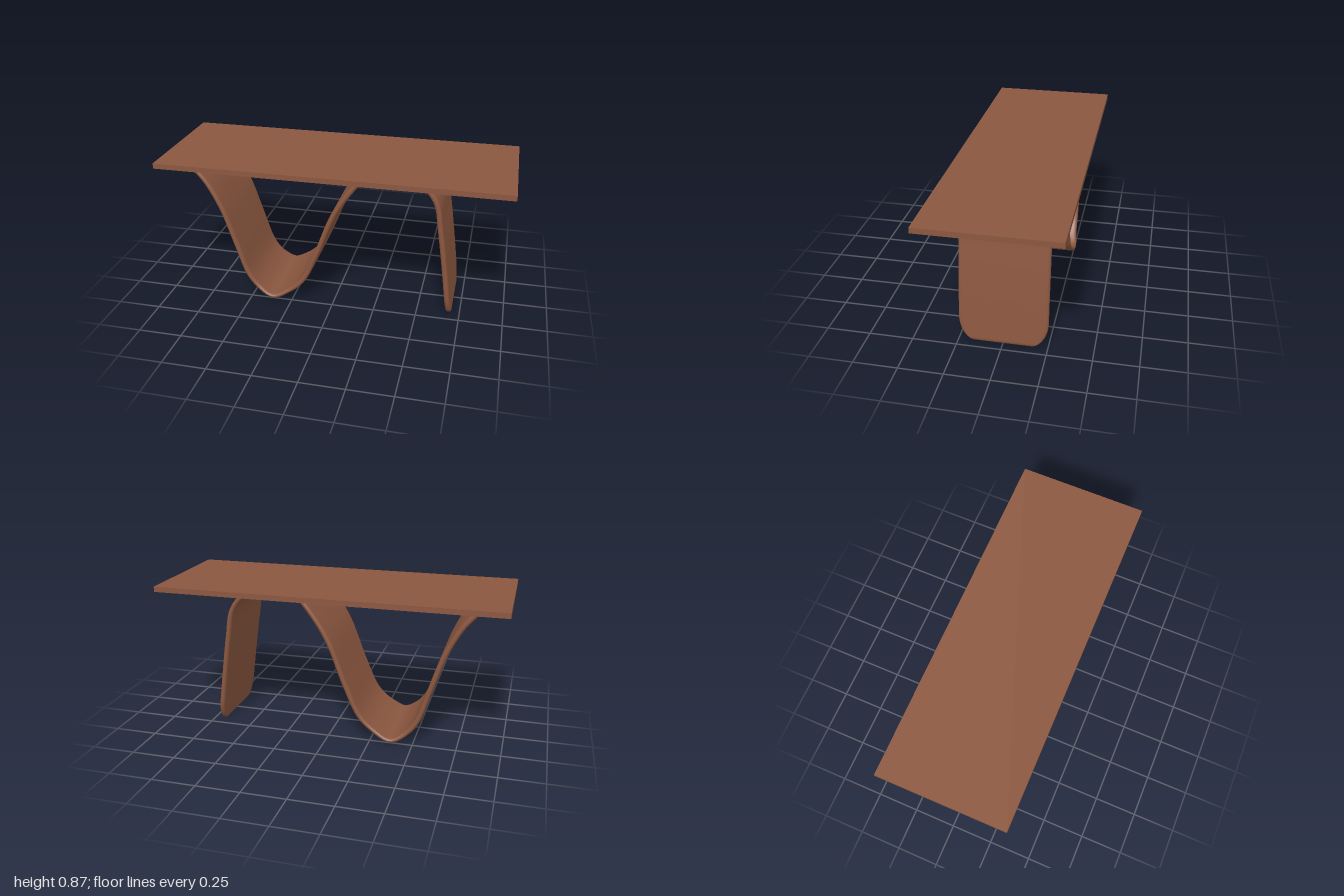
import * as THREE from 'three';

// Side profile of the ribbon base, [x, y]
const PATH = [
  [-0.865, 0.853], [-0.80, 0.79], [-0.74, 0.715], [-0.66, 0.56], [-0.585, 0.34], [-0.515, 0.14],
  [-0.45, 0.06], [-0.37, 0.017], [-0.29, 0.05], [-0.19, 0.135], [-0.10, 0.32], [0, 0.575],
  [0.08, 0.71], [0.18, 0.83], [0.22, 0.843], [0.34, 0.843], [0.46, 0.843], [0.53, 0.80],
  [0.585, 0.72], [0.615, 0.56], [0.65, 0.32], [0.69, 0.005],
];
// Upper half of the rounded cross-section: [width fraction, thickness fraction]
const HALF = [[1, 0], [0.99, 0.5], [0.965, 0.85], [0.92, 1], [0.5, 1], [0, 1],
  [-0.5, 1], [-0.92, 1], [-0.965, 0.85], [-0.99, 0.5]];

function ribbonGeometry() {
  const section = [...HALF, ...HALF.map(([z, n]) => [-z, -n])];
  const curve = new THREE.CatmullRomCurve3(
    PATH.map(([x, y]) => new THREE.Vector3(x, y, 0)), false, 'centripetal');
  curve.arcLengthDivisions = 1000;
  const length = curve.getLength();

  // Even steps, then finer ones towards the rounded foot
  const steps = [];
  for (let i = 0; i <= 120; i++) steps.push(0.95 * i / 120);
  for (let i = 1; i <= 24; i++) steps.push(1 - 0.05 * (1 - i / 24) ** 2);

  const positions = [], index = [], count = section.length;
  steps.forEach((t, i) => {
    const p = curve.getPointAt(t), d = curve.getTangentAt(t);
    const left = (1 - t) * length;
    const q = Math.max(0, 1 - left / 0.15);
    const e = Math.max(0, 1 - left / 0.025);
    // Rounded foot corners; slight flare at the floor bend and under the top
    let width = 0.15 + 0.1 * Math.sqrt(1 - q * q);
    if (p.x < 0.5) width += 0.011 * (1 - THREE.MathUtils.smoothstep(p.y, 0.015, 0.08));
    width += 0.02 * THREE.MathUtils.smoothstep(p.y, 0.825, 0.84);
    const steep = Math.abs(d.y);
    const thick = (0.012 + 0.004 * steep) * Math.sqrt(1 - e * e);
    for (const [z, n] of section) {
      positions.push(p.x - d.y * n * thick, p.y + d.x * n * thick, z * width);
    }
    if (i === 0) return;
    for (let j = 0; j < count; j++) {
      const a = (i - 1) * count + j, b = (i - 1) * count + (j + 1) % count;
      index.push(a, a + count, b, b, a + count, b + count);
    }
  });
  const g = new THREE.BufferGeometry();
  g.setAttribute('position', new THREE.Float32BufferAttribute(positions, 3));
  g.setIndex(index);
  g.computeVertexNormals();
  return g;
}

export function createModel() {
  const group = new THREE.Group();
  group.name = 'ribbonTable';
  const wood = new THREE.MeshStandardMaterial({ color: 0x8b573f });
  wood.name = 'brown wood';

  // Flat rectangular top
  const top = new THREE.Mesh(new THREE.BoxGeometry(2, 0.031, 0.74), wood);
  top.name = 'tableTop';
  top.position.y = 0.8545;
  group.add(top);

  // One continuous wavy band forming the legs
  const base = new THREE.Mesh(ribbonGeometry(), wood);
  base.name = 'ribbonBase';
  group.add(base);
  return group;
}
